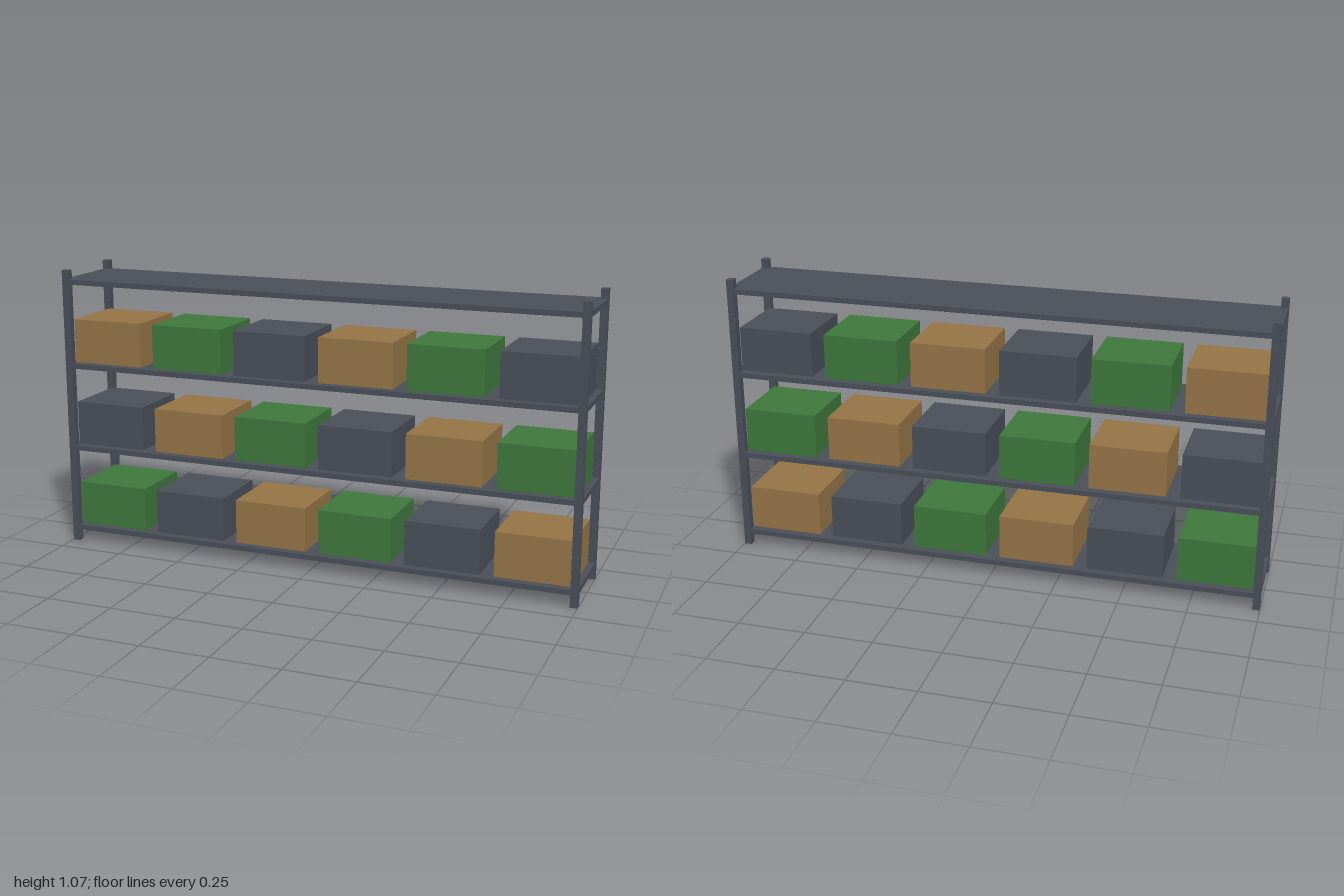
import * as THREE from 'three';

export function createModel() {
  const root = new THREE.Group();
  root.name = 'storageRack';

  const steel = new THREE.MeshStandardMaterial({ color: 0x4a4f59 });
  steel.name = 'slate grey';
  const green = new THREE.MeshStandardMaterial({ color: 0x3f783d });
  green.name = 'green';
  const brown = new THREE.MeshStandardMaterial({ color: 0x967547 });
  brown.name = 'cardboard brown';

  function addBox(name, material, size, position) {
    const mesh = new THREE.Mesh(new THREE.BoxGeometry(...size), material);
    mesh.name = name;
    mesh.position.set(...position);
    root.add(mesh);
  }

  // Four corner posts
  const height = 1.067, post = 0.027, halfDepth = 0.165;
  for (const sx of [-1, 1]) {
    for (const sz of [-1, 1]) {
      addBox('post', steel, [post, height, post],
        [sx * (1 - post / 2), height / 2, sz * (halfDepth - post / 2)]);
    }
  }

  // Shelves, a hair inside the posts' outer faces
  const thickness = 0.019, firstTop = 0.064, pitch = 0.3227;
  for (let i = 0; i < 4; i++) {
    addBox('shelf', steel, [1.997, thickness, 2 * halfDepth - 0.003],
      [0, firstTop + i * pitch - thickness / 2, 0]);
  }

  // Six bins on each of the lower three shelves, colours shifting per row
  const colours = [green, steel, brown];
  const binHeight = 0.167;
  for (let row = 0; row < 3; row++) {
    for (let i = 0; i < 6; i++) {
      addBox('storageBin', colours[(i + row) % 3], [0.281, binHeight, 0.265],
        [(i - 2.5) / 3, firstTop + row * pitch + binHeight / 2, 0]);
    }
  }
  return root;
}
